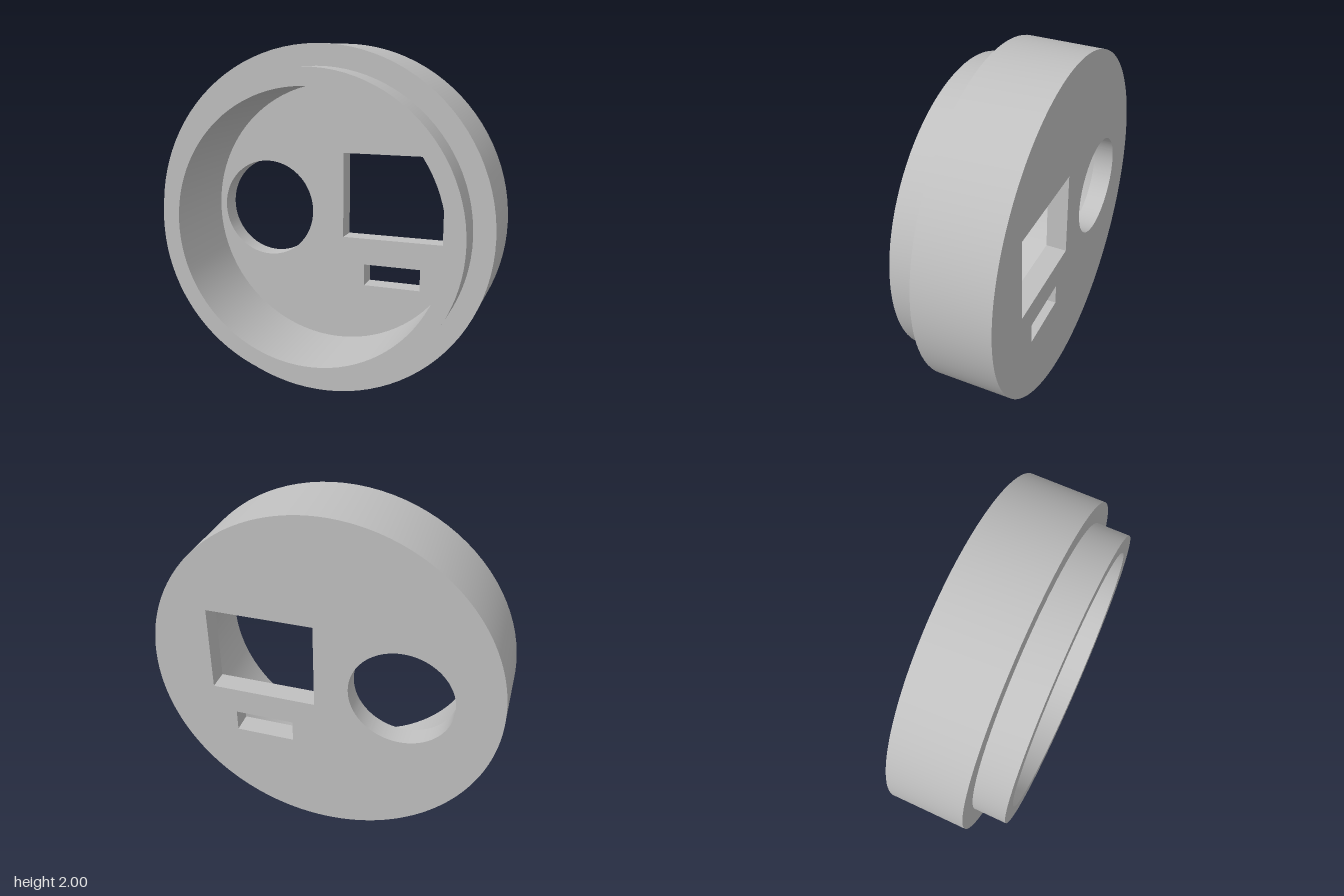
import * as THREE from 'three';
import { toCreasedNormals } from 'three/addons/utils/BufferGeometryUtils.js';

const SEG = 96;
const BACK = -0.315, FLOOR = -0.195, STEP = 0.125, FRONT = 0.315;
const R_BODY = 1, R_LIP = 0.88, R_BORE = 0.78;

function circlePath(x, y, r, Type = THREE.Path) {
  return new Type().absarc(x, y, r, 0, Math.PI * 2, false);
}

function rectPath(x0, y0, x1, y1) {
  const p = new THREE.Path();
  p.moveTo(x0, y0).lineTo(x1, y0).lineTo(x1, y1).lineTo(x0, y1);
  p.closePath();
  return p;
}

// Flat disc with cutouts, facing +z, or -z when flipped
function disc(radius, z, holes, flip) {
  const shape = circlePath(0, 0, radius, THREE.Shape);
  shape.holes = holes;
  const geo = new THREE.ShapeGeometry(shape, SEG).translate(0, 0, z);
  if (flip) {
    geo.index.array.reverse();
    geo.computeVertexNormals();
  }
  return geo;
}

// Inward-facing wall around a counter-clockwise cutout
function cutoutWall(path, z0, z1) {
  const pts = path.getPoints(SEG), pos = [];
  for (let i = 0; i < pts.length - 1; i++) {
    const p = pts[i], q = pts[i + 1];
    pos.push(p.x, p.y, z0, p.x, p.y, z1, q.x, q.y, z1);
    pos.push(p.x, p.y, z0, q.x, q.y, z1, q.x, q.y, z0);
  }
  const geo = new THREE.BufferGeometry();
  geo.setAttribute('position', new THREE.Float32BufferAttribute(pos, 3));
  return toCreasedNormals(geo, Math.PI / 6);
}

export function createModel() {
  const model = new THREE.Group();
  model.name = 'roundHousing';
  const body = new THREE.Group();
  body.name = 'housing';
  body.position.y = 1;
  model.add(body);

  const grey = new THREE.MeshStandardMaterial({ color: 0xc0c0c0 });
  grey.name = 'grey';
  const add = (name, geo) => {
    const mesh = new THREE.Mesh(geo, grey);
    mesh.name = name;
    body.add(mesh);
  };

  // Stepped outer wall, front lip and bore
  const profile = [
    [R_BODY, BACK], [R_BODY, STEP], [R_LIP, STEP],
    [R_LIP, FRONT], [R_BORE, FRONT], [R_BORE, FLOOR],
  ].map(([r, z]) => new THREE.Vector2(r, z));
  const wall = new THREE.LatheGeometry(profile, SEG).rotateX(Math.PI / 2);
  add('steppedWall', toCreasedNormals(wall, Math.PI / 6));

  // Cutouts through the back plate
  const cutouts = {
    roundOpening: circlePath(-0.445, 0.005, 0.295),
    windowOpening: rectPath(0.045, -0.14, 0.655, 0.37),
    slotOpening: rectPath(0.18, -0.43, 0.525, -0.3),
  };
  const holes = Object.values(cutouts);
  add('backFace', disc(R_BODY, BACK, holes, true));
  add('innerFloor', disc(R_BORE, FLOOR, holes, false));
  for (const [name, path] of Object.entries(cutouts)) {
    add(name, cutoutWall(path, BACK, FLOOR));
  }

  return model;
}
